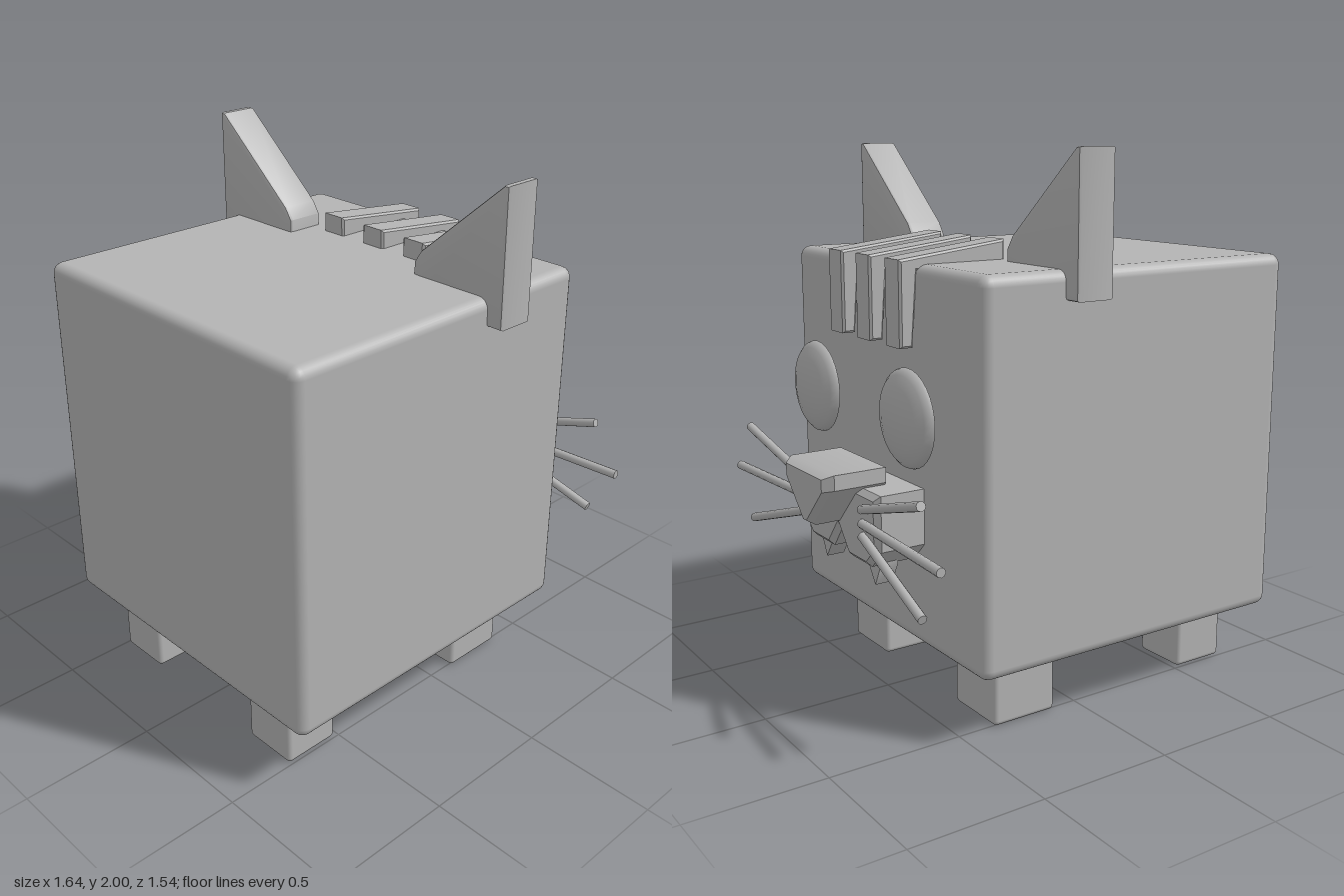
import * as THREE from 'three';
import { RoundedBoxGeometry } from 'three/addons/geometries/RoundedBoxGeometry.js';
import { ConvexGeometry } from 'three/addons/geometries/ConvexGeometry.js';
import { toCreasedNormals } from 'three/addons/utils/BufferGeometryUtils.js';

export function createModel() {
  const model = new THREE.Group();
  model.name = 'boxCat';
  const grey = new THREE.MeshStandardMaterial({ color: 0xb3b3b3 });
  grey.name = 'grey';

  const add = (name, geometry) => {
    const mesh = new THREE.Mesh(geometry, grey);
    mesh.name = name;
    model.add(mesh);
    return mesh;
  };

  // Rounded block given by its minimum and maximum corners
  const block = (name, a, b, radius) => {
    const g = new RoundedBoxGeometry(b[0] - a[0], b[1] - a[1], b[2] - a[2], 3, radius);
    g.translate((a[0] + b[0]) / 2, (a[1] + b[1]) / 2, (a[2] + b[2]) / 2);
    return add(name, g);
  };

  // Extrude an outline inside its own bounds, with bevelled rims
  const extrude = (points, depth, bevel, segments = 1) => {
    const shape = new THREE.Shape(points.map(p => new THREE.Vector2(p[0], p[1])));
    const g = new THREE.ExtrudeGeometry(shape, {
      depth: depth - 2 * bevel, bevelEnabled: bevel > 0, bevelThickness: bevel,
      bevelSize: bevel, bevelOffset: -bevel, bevelSegments: segments,
    });
    return g.translate(0, 0, bevel);
  };

  // Outline of [z, y] points extruded from x0 to x1
  const slab = (name, points, x0, x1, bevel, segments) => {
    const g = extrude(points.map(([z, y]) => [-z, y]), x1 - x0, bevel, segments);
    g.rotateY(Math.PI / 2).translate(x0, 0, 0);
    return add(name, toCreasedNormals(g, 0.6));
  };

  // Body
  block('body', [-0.82, 0.25, -0.66], [0.5, 1.61, 0.66], 0.04);

  for (const s of [1, -1]) {
    const side = s > 0 ? 'Left' : 'Right';

    // Legs
    const leg = (name, x0, x1, z0, z1) =>
      block(name + side, [x0, 0, Math.min(s * z0, s * z1)], [x1, 0.3, Math.max(s * z0, s * z1)], 0.018);
    leg('frontLeg', 0.1, 0.36, 0.255, 0.515);
    leg('backLeg', -0.735, -0.515, 0.275, 0.495);

    // Ears: upright outer edge, slanted inner edge
    const ear = [[0.72, 1.51], [0.72, 2], [0.7, 2], [0.35, 1.7], [0.32, 1.655], [0.32, 1.51]];
    slab('ear' + side, ear.map(([z, y]) => [s * z, y]), 0.03, 0.18, 0.012, 2);

    // Eyes: shallow domes with flat backs
    const profile = [[0, 0], [0.172, 0], [0.168, 0.012], [0.15, 0.028], [0.11, 0.043], [0.06, 0.053], [0, 0.056]];
    const eye = new THREE.LatheGeometry(profile.map(p => new THREE.Vector2(...p)), 32);
    eye.rotateZ(-Math.PI / 2);
    add('eye' + side, toCreasedNormals(eye, 0.7)).position.set(0.586, 1.11, s * 0.333);

    // Fangs
    slab('fang' + side, [[0.135, 0.6], [0.135, 0.565], [0.187, 0.49], [0.225, 0.565], [0.225, 0.6]]
      .map(([z, y]) => [s * z, y]), 0.575, 0.645, 0);

    // Whiskers: inner y, outer y, outer z
    [[0.775, 0.91, 0.655], [0.725, 0.727, 0.77], [0.68, 0.535, 0.655]].forEach(([y0, y1, z1], i) => {
      const from = new THREE.Vector3(0.695, y0, s * 0.19);
      const to = new THREE.Vector3(0.732, y1, s * z1);
      const dir = to.clone().sub(from);
      const whisker = add(`whisker${side}${i + 1}`, new THREE.CylinderGeometry(0.017, 0.017, dir.length(), 10));
      whisker.position.copy(from).addScaledVector(dir, 0.5);
      whisker.quaternion.setFromUnitVectors(new THREE.Vector3(0, 1, 0), dir.normalize());
    });
  }

  // Muzzle with a notch below the nose
  slab('muzzle', [[0.285, 0.84], [0.285, 0.64], [0.215, 0.57], [0.07, 0.57], [0, 0.66],
    [-0.07, 0.57], [-0.215, 0.57], [-0.285, 0.64], [-0.285, 0.84]], 0.46, 0.69, 0.02);

  // Nose: blunt triangle with a chamfered front
  const nose = [[0.17, 0.905], [0.17, 0.85], [0.015, 0.69], [-0.015, 0.69], [-0.17, 0.85], [-0.17, 0.905]];
  const nosePoints = [];
  for (const [x, k] of [[0.585, 1], [0.785, 1], [0.82, 0.82]])
    for (const [z, y] of nose) nosePoints.push(new THREE.Vector3(x, 0.81 + (y - 0.81) * k, z * k));
  add('nose', toCreasedNormals(new ConvexGeometry(nosePoints), 0.5));

  // Stripes folded over the top front edge
  const stripe = [[0.14, 1.59], [0.14, 1.68], [0.565, 1.63], [0.565, 1.33], [0.515, 1.33], [0.495, 1.59]];
  for (const z of [0.213, 0.008, -0.2]) {
    const g = extrude([...stripe].reverse(), 0.106, 0.008);
    add('stripe', toCreasedNormals(g, 0.6)).position.z = z - 0.053;
  }

  return model;
}
